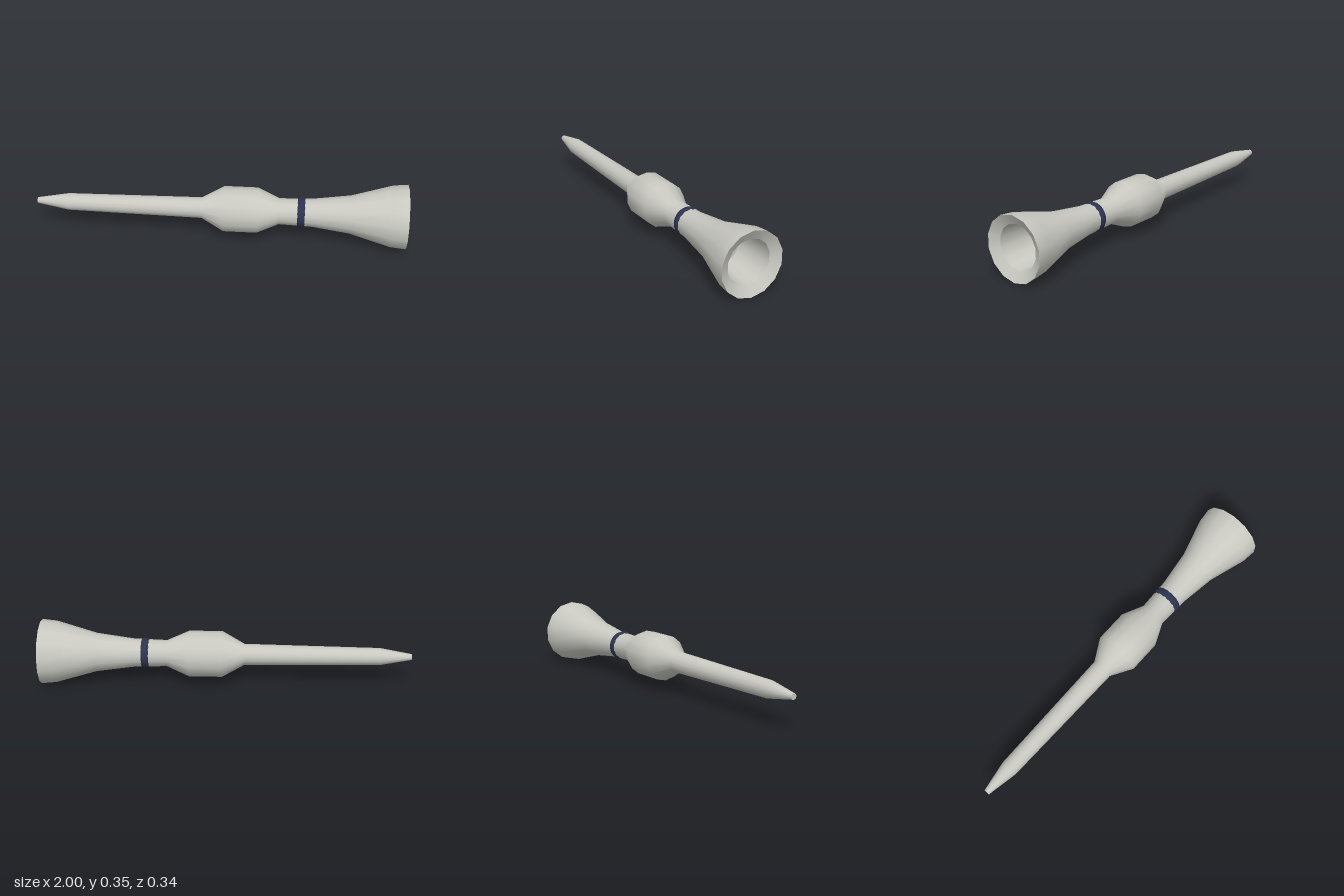
import * as THREE from 'three';

const SIDES = 14;
const AXIS_Y = 0.175;

export function createModel() {
  const model = new THREE.Group();
  model.name = 'flaredWand';

  const shell = new THREE.MeshStandardMaterial({ color: 0xc9c9c2 });
  shell.name = 'pale grey shell';
  const navy = new THREE.MeshStandardMaterial({ color: 0x2c3350 });
  navy.name = 'navy band';

  // Turned surface along x from [x, radius] pairs; separate calls keep creases sharp
  function turned(name, profile) {
    const points = profile.map(([x, r]) => new THREE.Vector2(r, x));
    const geometry = new THREE.LatheGeometry(points, SIDES, Math.PI / 2);
    geometry.rotateZ(-Math.PI / 2);
    const mesh = new THREE.Mesh(geometry, shell);
    mesh.name = name;
    mesh.position.y = AXIS_Y;
    model.add(mesh);
  }

  // Flat end of the thin tip
  turned('tipCap', [[-1, 0], [-1, 0.016]]);

  // Tapered shaft, swollen grip, waist and flared bell
  turned('body', [
    [-1, 0.016], [-0.83, 0.046], [-0.1, 0.057], [0.02, 0.124], [0.2, 0.124],
    [0.32, 0.071], [0.5, 0.077], [0.7, 0.104], [0.92, 0.167], [1, 0.175],
  ]);

  // Bell mouth: shallow bevel, deep bore and floor
  turned('mouthBevel', [[1, 0.175], [0.97, 0.121]]);
  turned('bore', [[0.97, 0.121], [0.75, 0.102]]);
  turned('boreFloor', [[0.75, 0.102], [0.75, 0]]);

  // Band sunk into the waist, its edge waving where it meets the facets
  const bandGeometry = new THREE.TorusGeometry(0.058, 0.022, 12, 28);
  bandGeometry.scale(1, 1, 1.4);
  bandGeometry.rotateY(Math.PI / 2);
  const band = new THREE.Mesh(bandGeometry, navy);
  band.name = 'waistBand';
  band.position.set(0.438, AXIS_Y, 0);
  model.add(band);

  return model;
}
